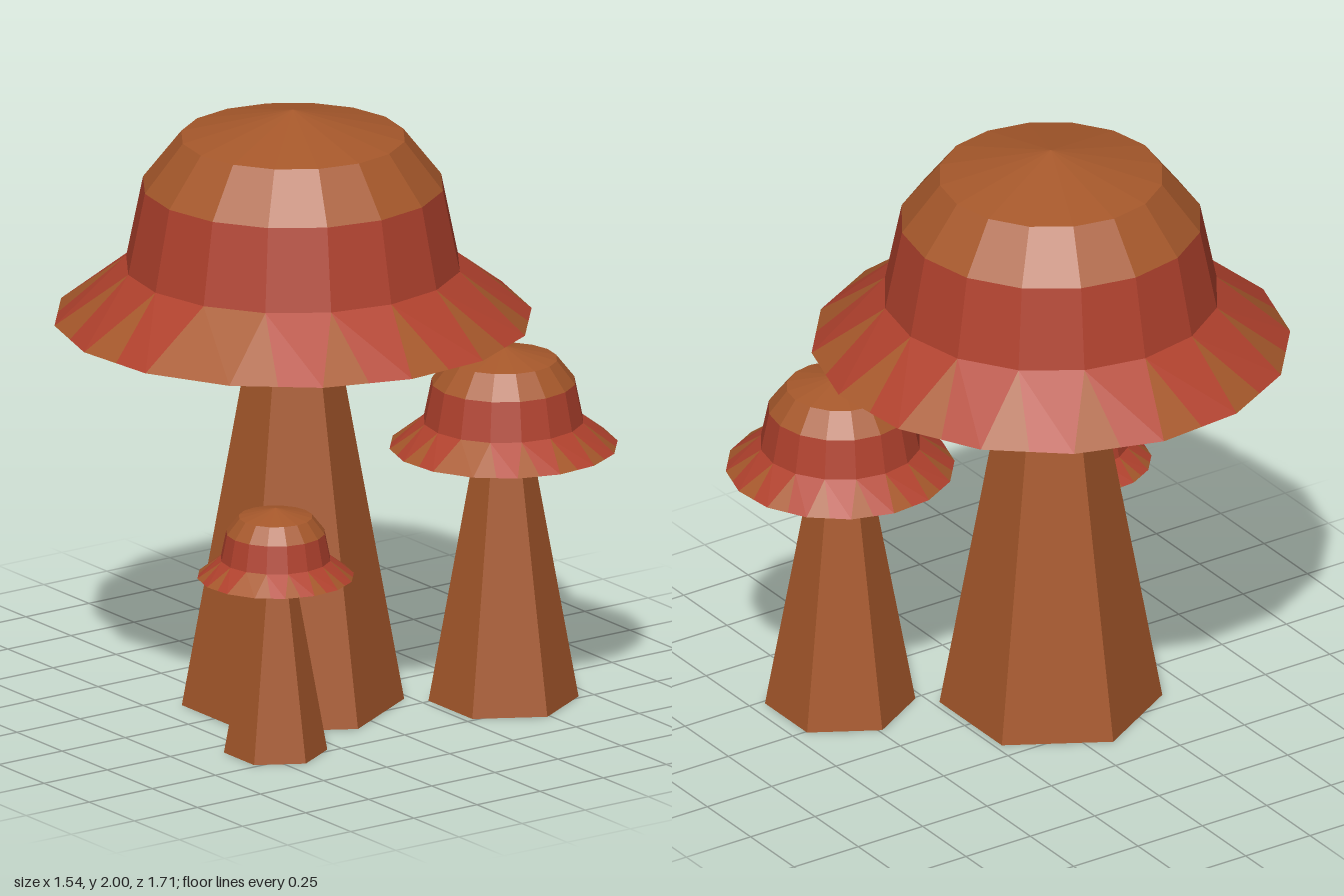
import * as THREE from 'three';

const SIDES = 16;
const RIM_TWIST = -0.103; // the rim is turned slightly against the crown

const material = (name, color) => {
  const m = new THREE.MeshStandardMaterial({ color, flatShading: true, side: THREE.DoubleSide });
  m.name = name;
  return m;
};

// One ring of points around the y axis
function ring(radius, y, twist = 0) {
  return Array.from({ length: SIDES }, (_, i) => {
    const a = (i / SIDES) * Math.PI * 2 + twist;
    return new THREE.Vector3(Math.sin(a) * radius, y, Math.cos(a) * radius);
  });
}

// Triangles between an upper and a lower ring: one resting on the lower edge, one hanging from the upper
function bandTriangles(upper, lower) {
  const standing = [], hanging = [];
  for (let i = 0; i < SIDES; i++) {
    const j = (i + 1) % SIDES;
    standing.push([upper[i], lower[i], lower[j]]);
    hanging.push([upper[i], lower[j], upper[j]]);
  }
  return { standing, hanging };
}

function facetMesh(name, triangles, mat) {
  const geometry = new THREE.BufferGeometry().setFromPoints(triangles.flat());
  geometry.computeVertexNormals();
  const mesh = new THREE.Mesh(geometry, mat);
  mesh.name = name;
  return mesh;
}

// Cap with its rim at y = 0
function createCap(mats) {
  const cap = new THREE.Group();
  cap.name = 'cap';
  const tip = ring(0, 0.7);
  const top = ring(0.365, 0.61);
  const shoulder = ring(0.49, 0.45);
  const waist = ring(0.545, 0.18);
  const rim = ring(0.775, 0, RIM_TWIST);
  const gillCentre = ring(0, -0.115);

  const all = (a, b) => {
    const { standing, hanging } = bandTriangles(a, b);
    return [...standing, ...hanging];
  };
  cap.add(facetMesh('crown', [...bandTriangles(tip, top).standing, ...all(top, shoulder)], mats.brown));
  cap.add(facetMesh('hatBand', all(shoulder, waist), mats.red));

  // Red brim with a brown wedge on the first half of each rim edge; one sector is fully brown
  const { standing, hanging } = bandTriangles(waist, rim);
  const red = [], brown = [];
  standing.forEach(([peak, a, b], i) => {
    const mid = a.clone().lerp(b, 0.52);
    const plain = i === 1 ? brown : red;
    brown.push([peak, a, mid]);
    plain.push([peak, mid, b], hanging[i]);
  });
  cap.add(facetMesh('brimRed', red, mats.red));
  cap.add(facetMesh('brimWedges', brown, mats.brown));

  cap.add(facetMesh('underside', bandTriangles(rim, gillCentre).hanging, mats.brown));
  return cap;
}

function createMushroom(name, x, z, stemScale, capScale, rimY, mats) {
  const mushroom = new THREE.Group();
  mushroom.name = name;
  mushroom.position.set(x, 0, z);

  // Tapered six-sided stem, open below, with corners on the x axis
  const geometry = new THREE.CylinderGeometry(0.145, 0.36, 1.21, 6, 1, true);
  geometry.rotateY(Math.PI / 6).translate(0, 0.605, 0);
  const stem = new THREE.Mesh(geometry, mats.brown);
  stem.name = 'stem';
  stem.scale.setScalar(stemScale);

  const cap = createCap(mats);
  cap.scale.setScalar(capScale);
  cap.position.y = rimY;
  mushroom.add(stem, cap);
  return mushroom;
}

export function createModel() {
  const mats = {
    brown: material('warm brown', 0xa6582b),
    red: material('brick red', 0xb0412d),
  };
  const model = new THREE.Group();
  model.name = 'mushrooms';
  model.add(
    createMushroom('largeMushroom', 0, 0.085, 1, 1, 1.3, mats),
    createMushroom('mediumMushroom', 0.365, -0.488, 0.675, 0.478, 0.857, mats),
    createMushroom('smallMushroom', 0.4, 0.44, 0.465, 0.328, 0.592, mats),
  );
  return model;
}
